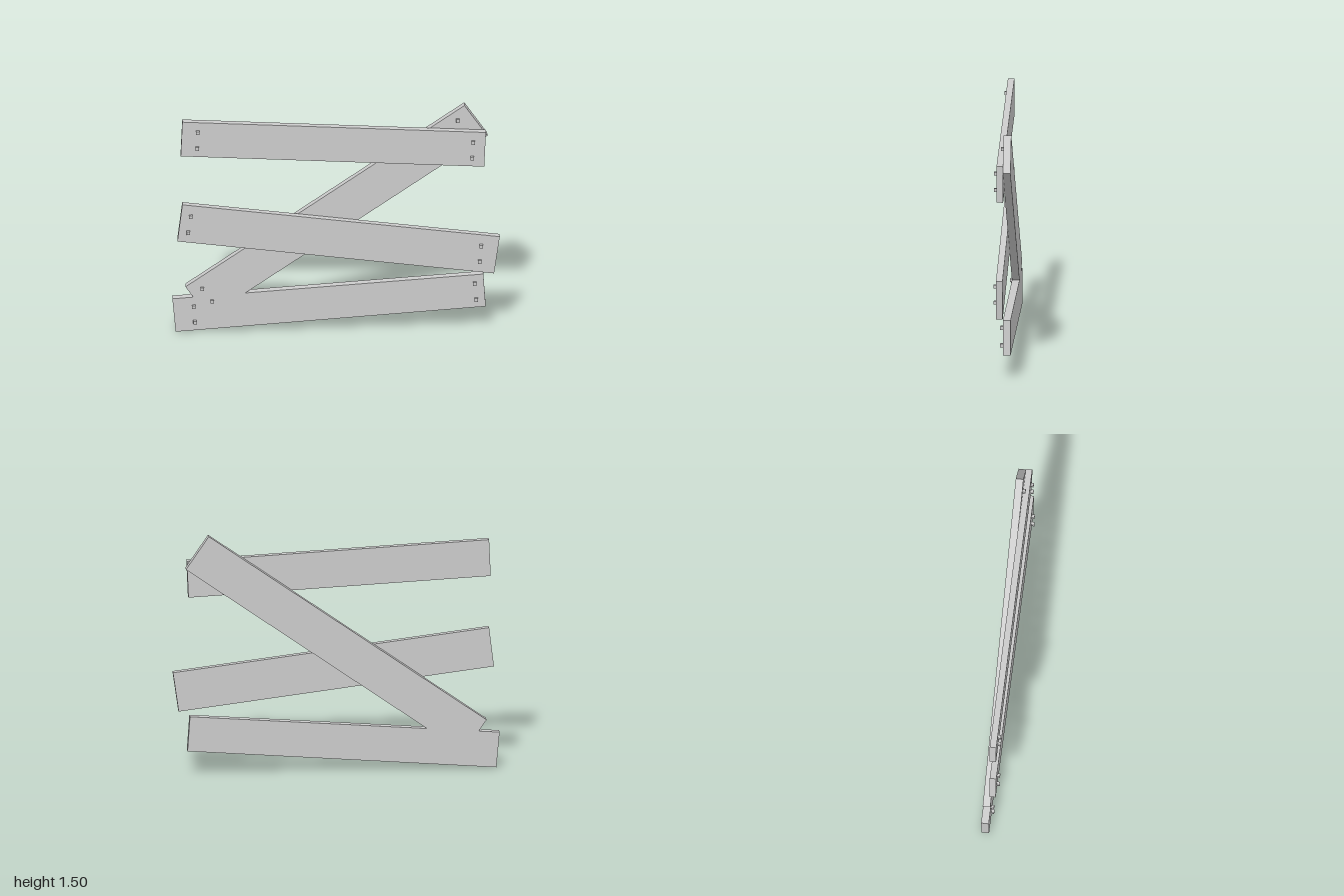
import * as THREE from 'three';

export function createModel() {
  const model = new THREE.Group();
  model.name = 'brokenPlankFence';
  const wood = new THREE.MeshStandardMaterial({ color: 0xcccccc });
  wood.name = 'pale grey';

  const FRONT = { back: -0.004, front: 0.036 };
  const REAR = { back: -0.05, front: -0.003 };

  // Plank: four corners in the front plane, extruded through its layer
  function plank(name, corners, layer) {
    const shape = new THREE.Shape(corners.map(([x, y]) => new THREE.Vector2(x, y)));
    const geo = new THREE.ExtrudeGeometry(shape, { depth: layer.front - layer.back, bevelEnabled: false });
    geo.translate(0, 0, layer.back);
    const mesh = new THREE.Mesh(geo, wood);
    mesh.name = name;
    model.add(mesh);
  }

  // Nail heads: small blocks standing proud of a layer's front, turned with the plank
  function nails(name, points, layer, angle) {
    const group = new THREE.Group();
    group.name = name;
    for (const [x, y] of points) {
      const nail = new THREE.Mesh(new THREE.BoxGeometry(0.021, 0.021, 0.024), wood);
      nail.name = 'nail';
      nail.position.set(x, y, layer.front + 0.006);
      nail.rotation.z = angle;
      group.add(nail);
    }
    model.add(group);
  }

  // Rear layer: bottom rail and diagonal brace
  plank('bottomPlank', [[-0.98, 0], [0.915, 0.15], [0.9, 0.368], [-1, 0.222]], REAR);
  plank('diagonalBrace', [[-0.78, 0.097], [0.925, 1.3], [0.785, 1.505], [-0.92, 0.302]], REAR);

  // Front layer: middle and top rails
  plank('middlePlank', [[-0.97, 0.627], [0.965, 0.39], [1, 0.637], [-0.94, 0.873]], FRONT);
  plank('topPlank', [[-0.95, 1.2], [0.905, 1.11], [0.915, 1.34], [-0.94, 1.43]], FRONT);

  nails('bottomNails', [[-0.87, 0.17], [-0.862, 0.066], [0.848, 0.308], [0.857, 0.2]], REAR, 0);
  nails('braceNails', [[-0.818, 0.29], [-0.758, 0.205], [0.745, 1.408]], REAR, 0);
  nails('middleNails', [[-0.888, 0.795], [-0.903, 0.688], [0.887, 0.578], [0.877, 0.474]], FRONT, 0);
  nails('topNails', [[-0.845, 1.362], [-0.85, 1.255], [0.838, 1.277], [0.832, 1.172]], FRONT, 0);

  return model;
}
